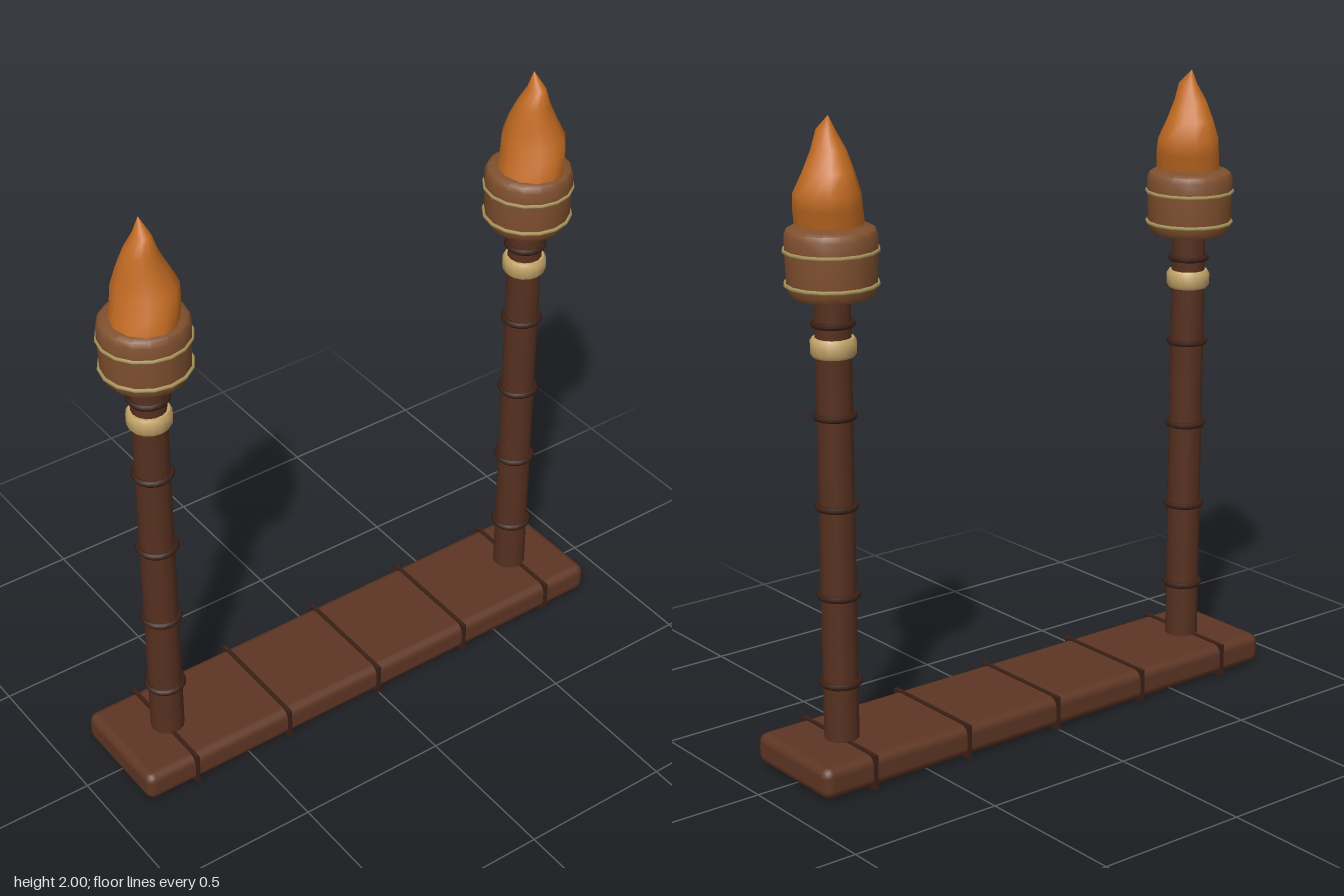
import * as THREE from 'three';
import { RoundedBoxGeometry } from 'three/addons/geometries/RoundedBoxGeometry.js';
import { toCreasedNormals } from 'three/addons/utils/BufferGeometryUtils.js';

const material = (color) => new THREE.MeshStandardMaterial({ color });
const wood = material(0x5e3624);
const poleWood = material(0x56301f);
const darkWood = material(0x3a2016);
const bowlWood = material(0x80502f);
const gold = material(0xa8935a);
const tan = material(0xc4a469);
const fire = material(0xc46c22);

function add(parent, name, geometry, mat, x = 0, y = 0, z = 0) {
  const mesh = new THREE.Mesh(geometry, mat);
  mesh.name = name;
  mesh.position.set(x, y, z);
  parent.add(mesh);
  return mesh;
}

// Horizontal ring around the y axis
const ring = (radius, tube, sides = 16) =>
  new THREE.TorusGeometry(radius, tube, 6, sides).rotateX(Math.PI / 2);

const lathe = (points, sides) =>
  toCreasedNormals(new THREE.LatheGeometry(points.map((p) => new THREE.Vector2(...p)), sides), 0.7);

// Irregular flame: stacked ovals, each given as y, x min, x max, z min, z max
function flameGeometry() {
  const levels = [
    [1.685, -0.09, 0.125, -0.092, 0.107],
    [1.735, -0.098, 0.115, -0.103, 0.095],
    [1.78, -0.106, 0.098, -0.11, 0.083],
    [1.84, -0.08, 0.077, -0.078, 0.068],
    [1.9, -0.046, 0.062, -0.047, 0.053],
    [1.955, -0.016, 0.049, -0.026, 0.026],
  ];
  const sides = 12;
  const positions = [];
  const index = [];
  for (const [y, x0, x1, z0, z1] of levels) {
    for (let i = 0; i < sides; i++) {
      const a = (i / sides) * Math.PI * 2;
      positions.push(
        (x0 + x1) / 2 + ((x1 - x0) / 2) * Math.sin(a), y,
        (z0 + z1) / 2 + ((z1 - z0) / 2) * Math.cos(a));
    }
  }
  const bottom = positions.length / 3;
  positions.push(0.017, 1.675, 0.007, -0.006, 2.0, -0.005);
  const tip = bottom + 1;
  for (let i = 0; i < sides; i++) {
    const j = (i + 1) % sides;
    for (let k = 0; k < levels.length - 1; k++) {
      const a = k * sides + i, b = k * sides + j;
      index.push(a, b, b + sides, a, b + sides, a + sides);
    }
    const top = (levels.length - 1) * sides;
    index.push(top + i, top + j, tip, j, i, bottom);
  }
  const geometry = new THREE.BufferGeometry();
  geometry.setAttribute('position', new THREE.Float32BufferAttribute(positions, 3));
  geometry.setIndex(index);
  return toCreasedNormals(geometry, 0.9);
}

function createTorch() {
  const torch = new THREE.Group();
  // Pole with dark joint rings
  add(torch, 'pole', new THREE.CylinderGeometry(0.054, 0.054, 1.4, 14), poleWood, 0, 0.79);
  for (let i = 0; i < 5; i++) {
    add(torch, 'poleRing', ring(0.057, 0.01), darkWood, 0, 0.285 + i * 0.2775);
  }
  // Rounded pale collar
  add(torch, 'collar', lathe([
    [0.05, 1.297], [0.062, 1.297], [0.069, 1.308], [0.069, 1.343], [0.062, 1.354], [0.05, 1.354],
  ], 16), tan);
  // Barrel-shaped bowl with two metal hoops
  add(torch, 'bowl', lathe([
    [0, 1.475], [0.118, 1.475], [0.13, 1.492], [0.133, 1.515], [0.137, 1.61],
    [0.137, 1.655], [0.13, 1.672], [0.115, 1.68], [0, 1.68],
  ], 16), bowlWood);
  add(torch, 'lowerHoop', ring(0.135, 0.0065), gold, 0, 1.513);
  add(torch, 'upperHoop', ring(0.137, 0.0065), gold, 0, 1.612);
  add(torch, 'flame', flameGeometry(), fire);
  return torch;
}

export function createModel() {
  const model = new THREE.Group();
  model.name = 'twinTorches';

  // Plank with dark straps
  add(model, 'plank', new RoundedBoxGeometry(0.376, 0.1, 1.765, 2, 0.03), wood, 0, 0.055);
  for (const z of [-0.705, -0.353, 0, 0.353, 0.705]) {
    add(model, 'strap', new THREE.BoxGeometry(0.386, 0.11, 0.013), darkWood, 0, 0.055, z);
  }

  // One torch near each end
  for (const [name, z] of [['frontTorch', 0.695], ['backTorch', -0.695]]) {
    const torch = createTorch();
    torch.name = name;
    torch.position.z = z;
    model.add(torch);
  }
  return model;
}
